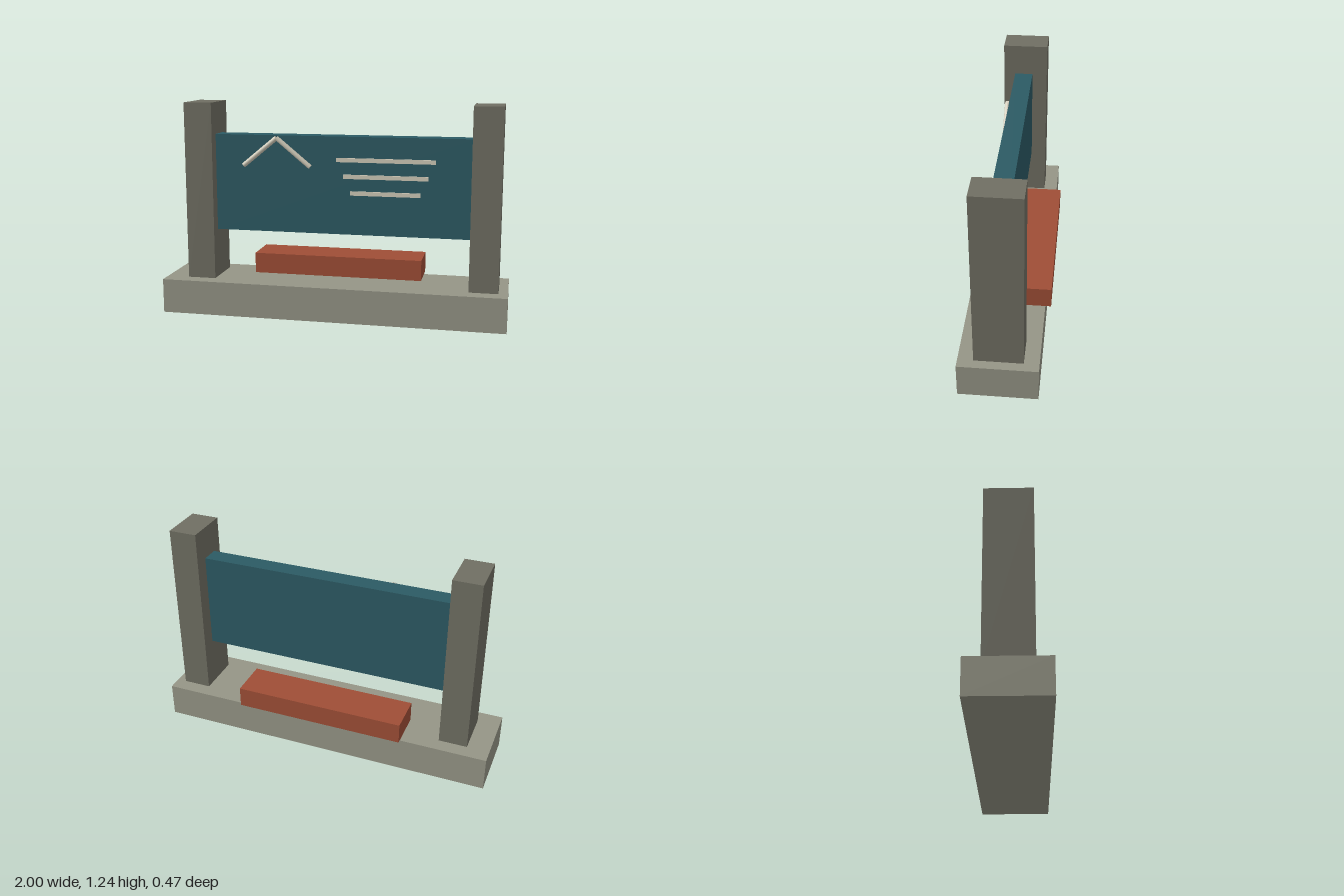
import * as THREE from 'three';

const paint = (name, color) => {
  const m = new THREE.MeshStandardMaterial({ color });
  m.name = name;
  return m;
};

export function createModel() {
  const model = new THREE.Group();
  model.name = 'signBoard';
  const stone = paint('pale stone', 0x959586);
  const post = paint('dark stone', 0x706f63);
  const teal = paint('teal', 0x2c5a64);
  const brick = paint('brick red', 0x9f4e36);
  const cream = paint('cream', 0xd2ccba);

  // Box given by its extents on each axis
  const box = (name, material, [x0, x1], [y0, y1], [z0, z1]) => {
    const mesh = new THREE.Mesh(new THREE.BoxGeometry(x1 - x0, y1 - y0, z1 - z0), material);
    mesh.position.set((x0 + x1) / 2, (y0 + y1) / 2, (z0 + z1) / 2);
    mesh.name = name;
    model.add(mesh);
  };

  // Plinth, posts, panel and rear planter
  box('base', stone, [-1, 1], [0, 0.2], [-0.2, 0.233]);
  box('rightPost', post, [-0.87, -0.705], [0.2, 1.235], [-0.117, 0.148]);
  box('leftPost', post, [0.782, 0.947], [0.2, 1.235], [-0.117, 0.148]);
  box('panel', teal, [-0.705, 0.782], [0.485, 1.05], [-0.028, 0.08]);
  box('planter', brick, [-0.5, 0.5], [0.21, 0.33], [-0.233, 0]);

  // Three raised bars, shorter towards the bottom
  [[0.015, 0.58, 0.917], [0.055, 0.54, 0.822], [0.097, 0.497, 0.727]].forEach(([x0, x1, y], i) =>
    box(`bar${i + 1}`, cream, [x0, x1], [y - 0.012, y + 0.012], [0.08, 0.089]));

  // Two rods meeting in a peak
  const apex = new THREE.Vector3(-0.335, 1.036, 0.092);
  for (const side of [-1, 1]) {
    const foot = new THREE.Vector3(apex.x + side * 0.198, 0.873, apex.z);
    const dir = apex.clone().sub(foot);
    const rod = new THREE.Mesh(new THREE.CylinderGeometry(0.014, 0.014, dir.length(), 12), cream);
    rod.position.copy(apex).add(foot).multiplyScalar(0.5);
    rod.quaternion.setFromUnitVectors(new THREE.Vector3(0, 1, 0), dir.normalize());
    rod.name = side < 0 ? 'peakRightRod' : 'peakLeftRod';
    model.add(rod);
  }
  return model;
}
